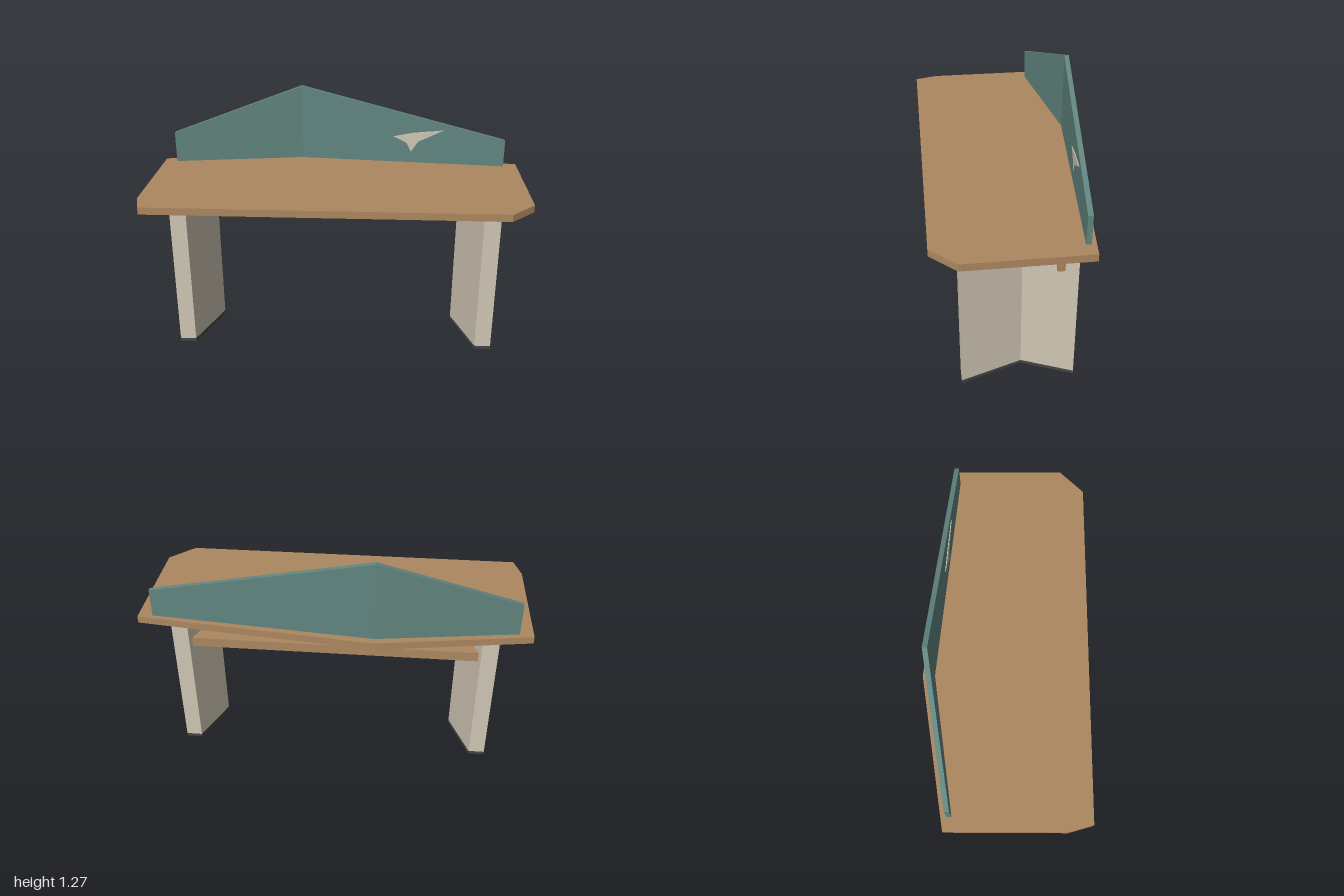
import * as THREE from 'three';

const paint = (name, color) => {
  const m = new THREE.MeshStandardMaterial({ color });
  m.name = name;
  return m;
};

// Upright prism from a plan outline of [x, z] points; top may be a height or a function of x
function prism(plan, bottom, top) {
  const shape = new THREE.Shape(plan.map(([x, z]) => new THREE.Vector2(x, -z)));
  const geo = new THREE.ExtrudeGeometry(shape, { depth: 1, bevelEnabled: false });
  geo.rotateX(-Math.PI / 2);
  const p = geo.attributes.position;
  for (let i = 0; i < p.count; i++) {
    const high = typeof top === 'function' ? top(p.getX(i)) : top;
    p.setY(i, p.getY(i) > 0.5 ? high : bottom);
  }
  geo.computeVertexNormals();
  return geo;
}

export function createModel() {
  const wood = paint('wood', 0xad8860);
  const cream = paint('cream', 0xd0c7b5);
  const teal = paint('teal', 0x628680);
  const dark = paint('charcoal', 0x434645);

  const group = new THREE.Group();
  group.name = 'desk';
  const add = (name, geo, material) => {
    const mesh = new THREE.Mesh(geo, material);
    mesh.name = name;
    group.add(mesh);
    return mesh;
  };

  // Table top with a peaked back edge and uneven front chamfers
  const topPlan = [[-1, 0.3], [-0.965, 0.425], [0.875, 0.425], [1, 0.3],
    [1, -0.305], [-0.215, -0.43], [-1, -0.305]];
  add('tableTop', prism(topPlan, 0.812, 0.85), wood);

  // Bent legs, creased inwards, with a dark foot strip
  const legPlan = [[0.76, 0.295], [0.845, 0.295], [0.74, -0.012],
    [0.845, -0.262], [0.76, -0.262], [0.655, -0.012]];
  for (const [side, s] of [['left', 1], ['right', -1]]) {
    const plan = legPlan.map(([x, z]) => [s * x, z]);
    add(side + 'Leg', prism(plan, 0.018, 0.812), cream);
    add(side + 'Foot', prism(plan, 0, 0.018), dark);
  }

  // Cross beam passing through both legs
  const beam = add('crossBeam', new THREE.BoxGeometry(1.64, 0.053, 0.072), wood);
  beam.position.set(0, 0.657, -0.201);

  // Folded rear screen that rises to an off-centre peak
  const bend = -0.215;
  const screenPlan = [[-0.93, -0.262], [bend, -0.367], [0.925, -0.264],
    [0.925, -0.289], [bend, -0.392], [-0.93, -0.287]];
  const screenTop = (x) => x < bend
    ? THREE.MathUtils.mapLinear(x, -0.93, bend, 1.02, 1.27)
    : THREE.MathUtils.mapLinear(x, bend, 0.925, 1.27, 1.0);
  add('rearScreen', prism(screenPlan, 0.85, screenTop), teal);

  // Thin arrow-shaped inlay lying on the slanted screen front
  const arrow = [[0.305, 1.0], [0.355, 0.978], [0.38, 0.965], [0.406, 0.914],
    [0.446, 0.975], [0.583, 1.045], [0.44, 1.02]];
  // Upper edge stays nearly straight between the two wing tips
  arrow[6] = [0.42, 1.026];
  const inlay = new THREE.ExtrudeGeometry(
    new THREE.Shape(arrow.map(([x, y]) => new THREE.Vector2(x, y))),
    { depth: 0.004, bevelEnabled: false });
  const p = inlay.attributes.position;
  for (let i = 0; i < p.count; i++) {
    p.setZ(i, p.getZ(i) + THREE.MathUtils.mapLinear(p.getX(i), bend, 0.925, -0.367, -0.264));
  }
  inlay.computeVertexNormals();
  add('screenInlay', inlay, cream);

  return group;
}
